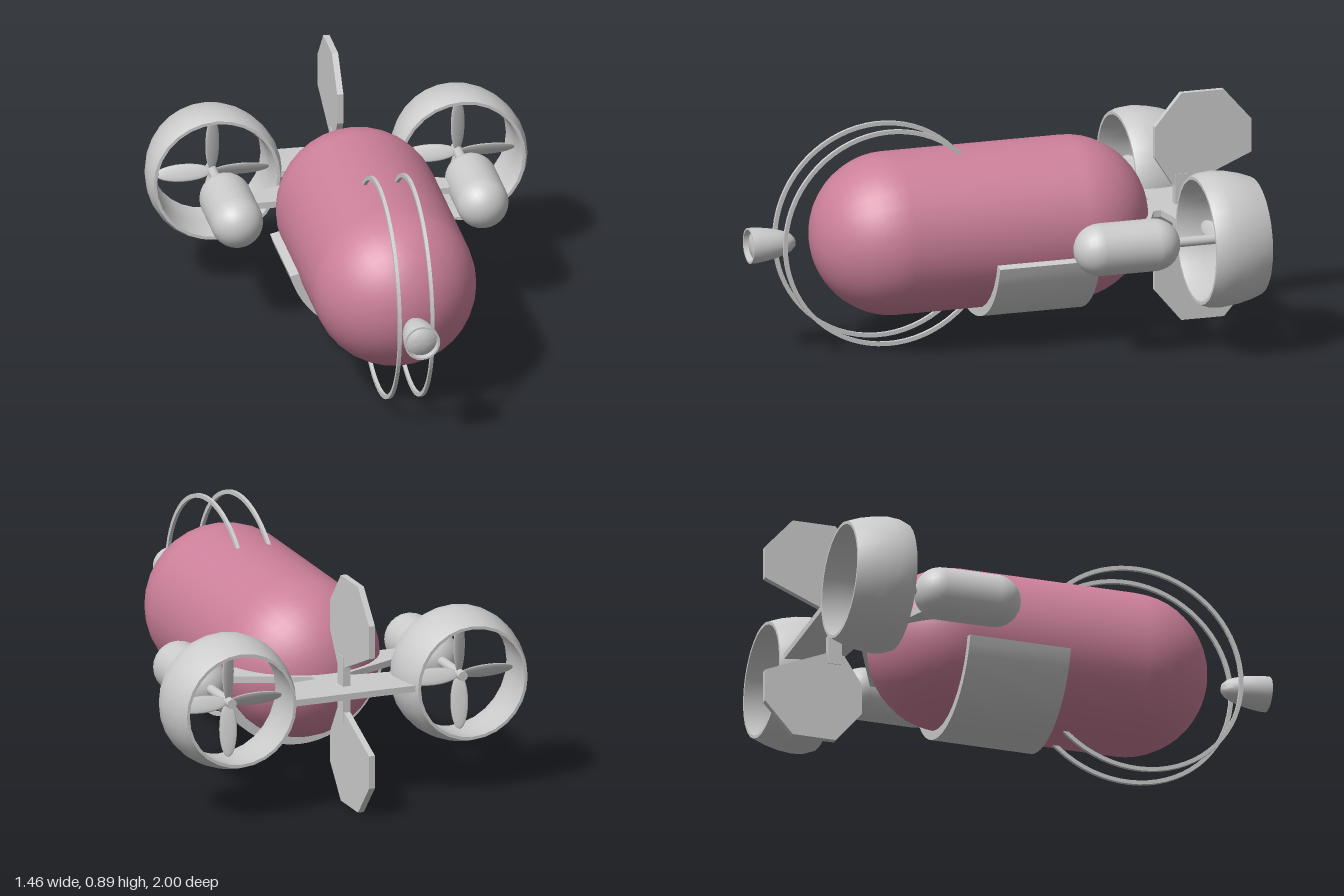
import * as THREE from 'three';
import { toCreasedNormals } from 'three/addons/utils/BufferGeometryUtils.js';

const AXIS_Y = 0.45;
const grey = new THREE.MeshStandardMaterial({ color: 0xcccccc });
const greyDouble = new THREE.MeshStandardMaterial({ color: 0xcccccc, side: THREE.DoubleSide });
const pink = new THREE.MeshStandardMaterial({ color: 0xcc809a });

function part(name, geometry, material = grey) {
  const mesh = new THREE.Mesh(geometry, material);
  mesh.name = name;
  return mesh;
}

const shapeOf = (pts) => new THREE.Shape(pts.map(([x, y]) => new THREE.Vector2(x, y)));

// Plate extruded symmetrically about its own plane
function plate(shape, thickness, curveSegments = 12) {
  return new THREE.ExtrudeGeometry(shape, { depth: thickness, bevelEnabled: false, curveSegments })
    .translate(0, 0, -thickness / 2);
}

// Lathe whose axis runs along z; points are [radius, z]
function latheZ(pts, segments) {
  const g = new THREE.LatheGeometry(pts.map(([r, z]) => new THREE.Vector2(r, z)), segments);
  return toCreasedNormals(g.rotateX(Math.PI / 2), 0.7);
}

// Capsule along z between two z positions
function capsuleZ(radius, zBack, zFront, caps, sides) {
  return new THREE.CapsuleGeometry(radius, zFront - zBack - 2 * radius, caps, sides)
    .rotateX(Math.PI / 2).translate(0, 0, (zBack + zFront) / 2);
}

// Engine pod, shaft, four-bladed propeller and duct
function createThruster(name) {
  const g = new THREE.Group();
  g.name = name;
  g.add(part('enginePod', capsuleZ(0.1, -0.555, -0.14, 8, 24)));

  const shaft = new THREE.CylinderGeometry(0.019, 0.019, 0.23, 12).rotateX(Math.PI / 2);
  g.add(part('propellerShaft', shaft.translate(0, 0, -0.645)));

  for (let i = 0; i < 4; i++) {
    const blade = new THREE.SphereGeometry(1, 12, 12).scale(0.034, 0.108, 0.007)
      .rotateY(0.5).translate(0, 0.111, -0.72).rotateZ(i * Math.PI / 2);
    g.add(part('propellerBlade', blade));
  }

  const duct = latheZ([
    [0.212, -0.855], [0.224, -0.855], [0.241, -0.81], [0.254, -0.755], [0.26, -0.70],
    [0.256, -0.655], [0.244, -0.625], [0.232, -0.625], [0.222, -0.66], [0.219, -0.72],
    [0.217, -0.79], [0.212, -0.855],
  ], 28);
  g.add(part('duct', duct));
  return g;
}

export function createModel() {
  const model = new THREE.Group();
  model.name = 'submersible';
  const craft = new THREE.Group();
  craft.name = 'craft';
  craft.position.y = AXIS_Y;
  model.add(craft);

  // Hull
  craft.add(part('hull', capsuleZ(0.312, -0.575, 0.745, 12, 32), pink));

  // Curved belly shield
  const a = 0.25;
  const shield = new THREE.Shape();
  shield.absarc(0, 0, 0.345, -Math.PI + a, -a, false);
  shield.absarc(0, 0, 0.308, -a, -Math.PI + a, true);
  const shieldGeo = toCreasedNormals(plate(shield, 0.4, 12), 0.5);
  craft.add(part('bellyShield', shieldGeo.translate(0, 0, -0.09)));

  // Two square-section guard hoops around the nose
  const sweep = Math.PI * 0.752;
  for (const x of [-0.063, 0.063]) {
    const hoop = new THREE.Shape();
    hoop.absarc(0, 0, 0.423, -sweep, sweep, false);
    hoop.absarc(0, 0, 0.407, sweep, -sweep, true);
    const geo = plate(hoop, 0.013, 26).rotateY(-Math.PI / 2);
    const mesh = part('guardHoop', geo);
    mesh.position.set(x, 0, 0.46);
    craft.add(mesh);
  }

  // Nose lamp: bullet housing and domed lens
  const housing = latheZ([
    [0, 0.815], [0.018, 0.819], [0.034, 0.835], [0.046, 0.862], [0.056, 0.895],
    [0.063, 0.935], [0.068, 0.975], [0.068, 1.0], [0.061, 1.0], [0.059, 0.975],
  ], 24);
  craft.add(part('lampHousing', housing, greyDouble));
  craft.add(part('lampLens', latheZ([[0.06, 0.975], [0.045, 0.985], [0.025, 0.992], [0, 0.995]], 24)));

  // Flat wing: struts to the pods and a tailplane between the ducts ([x, z], mirrored)
  const half = [
    [0.40, -0.365], [0.40, -0.445], [0.075, -0.588], [0.075, -0.618],
    [0.23, -0.638], [0.25, -0.84],
  ];
  const outline = [...half, ...half.slice().reverse().map(([x, z]) => [-x, z])];
  craft.add(part('wing', plate(shapeOf(outline), 0.025).rotateX(Math.PI / 2)));

  // Upper and lower rudder fins on short stems
  const fin = [
    [-0.685, 0.09], [-0.615, 0.20], [-0.615, 0.32], [-0.72, 0.445], [-0.89, 0.445],
    [-1.0, 0.32], [-1.0, 0.192], [-0.76, 0.09],
  ];
  for (const s of [1, -1]) {
    const shape = shapeOf(fin.map(([z, y]) => [-z, s * y]));
    craft.add(part(s > 0 ? 'upperFin' : 'lowerFin', plate(shape, 0.024).rotateY(Math.PI / 2)));
    const stem = new THREE.BoxGeometry(0.03, 0.13, 0.055).translate(0, s * 0.065, -0.722);
    craft.add(part(s > 0 ? 'upperFinStem' : 'lowerFinStem', stem));
  }

  // Thrusters
  for (const s of [1, -1]) {
    const thruster = createThruster(s > 0 ? 'leftThruster' : 'rightThruster');
    thruster.position.x = s * 0.472;
    craft.add(thruster);
  }

  return model;
}
